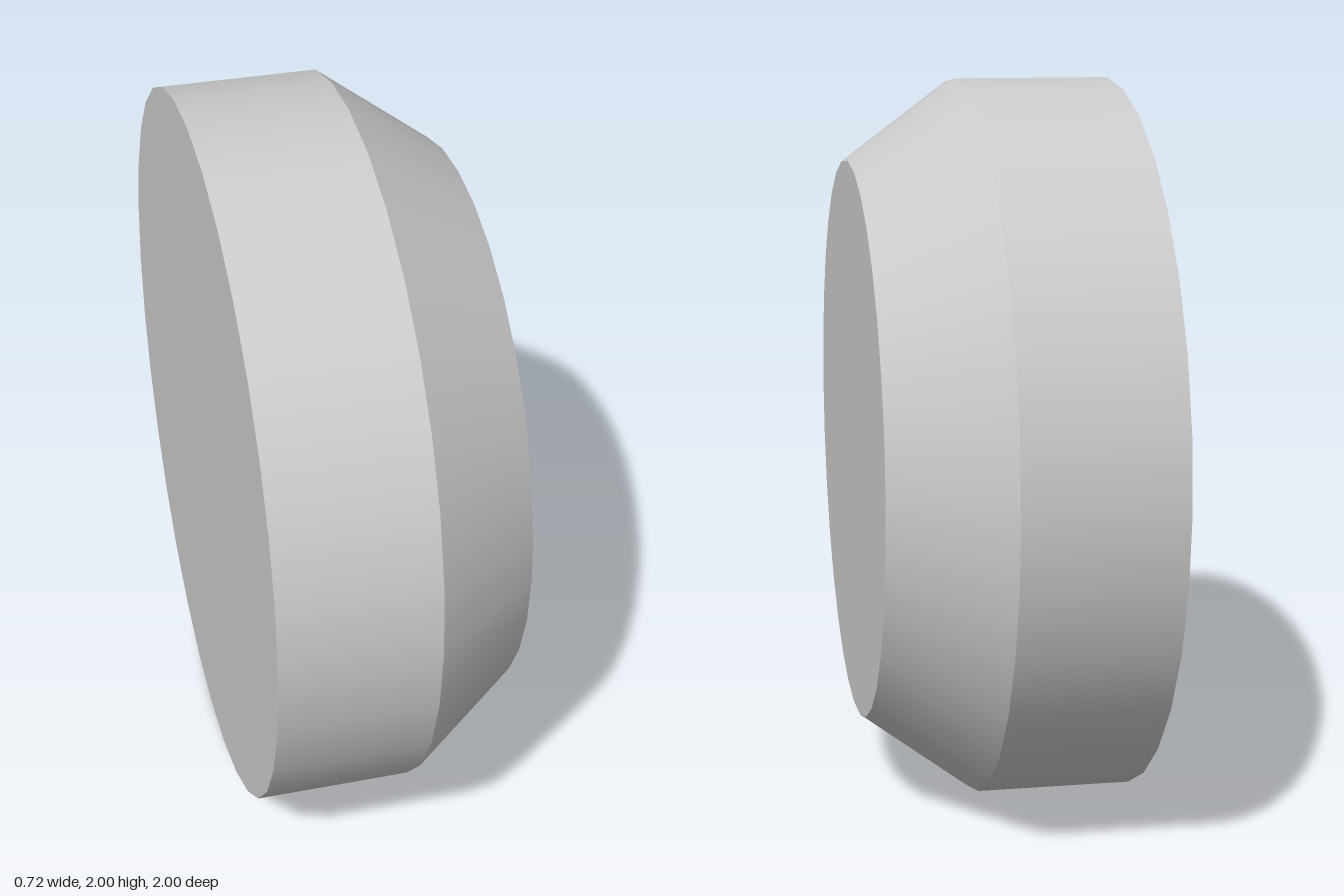
import * as THREE from 'three';

const SIDES = 32;
const material = new THREE.MeshStandardMaterial({ color: 0xcccccc });

function addPart(group, name, geometry, x) {
  const mesh = new THREE.Mesh(geometry, material);
  mesh.name = name;
  mesh.position.set(x, 1, 0);
  group.add(mesh);
}

// Open band around the x axis, from x0 (radius r0) to x1 (radius r1)
function addBand(group, name, x0, r0, x1, r1) {
  const geometry = new THREE.CylinderGeometry(r1, r0, x1 - x0, SIDES, 1, true);
  addPart(group, name, geometry.rotateZ(-Math.PI / 2), (x0 + x1) / 2);
}

// Flat disc facing +x or -x
function addDisc(group, name, x, radius, facing) {
  const geometry = new THREE.CircleGeometry(radius, SIDES);
  addPart(group, name, geometry.rotateY(facing * Math.PI / 2), x);
}

export function createModel() {
  const group = new THREE.Group();
  group.name = 'bevelledDisc';
  const left = 0.362, shoulder = 0.062, faceRadius = 0.78;

  // Straight rim, then a tapered bevel
  addBand(group, 'rim', -left, 1, shoulder, 1);
  addBand(group, 'bevel', shoulder, 1, left, faceRadius);

  // End faces
  addDisc(group, 'smallFace', left, faceRadius, 1);
  addDisc(group, 'largeFace', -left, 1, -1);
  return group;
}
